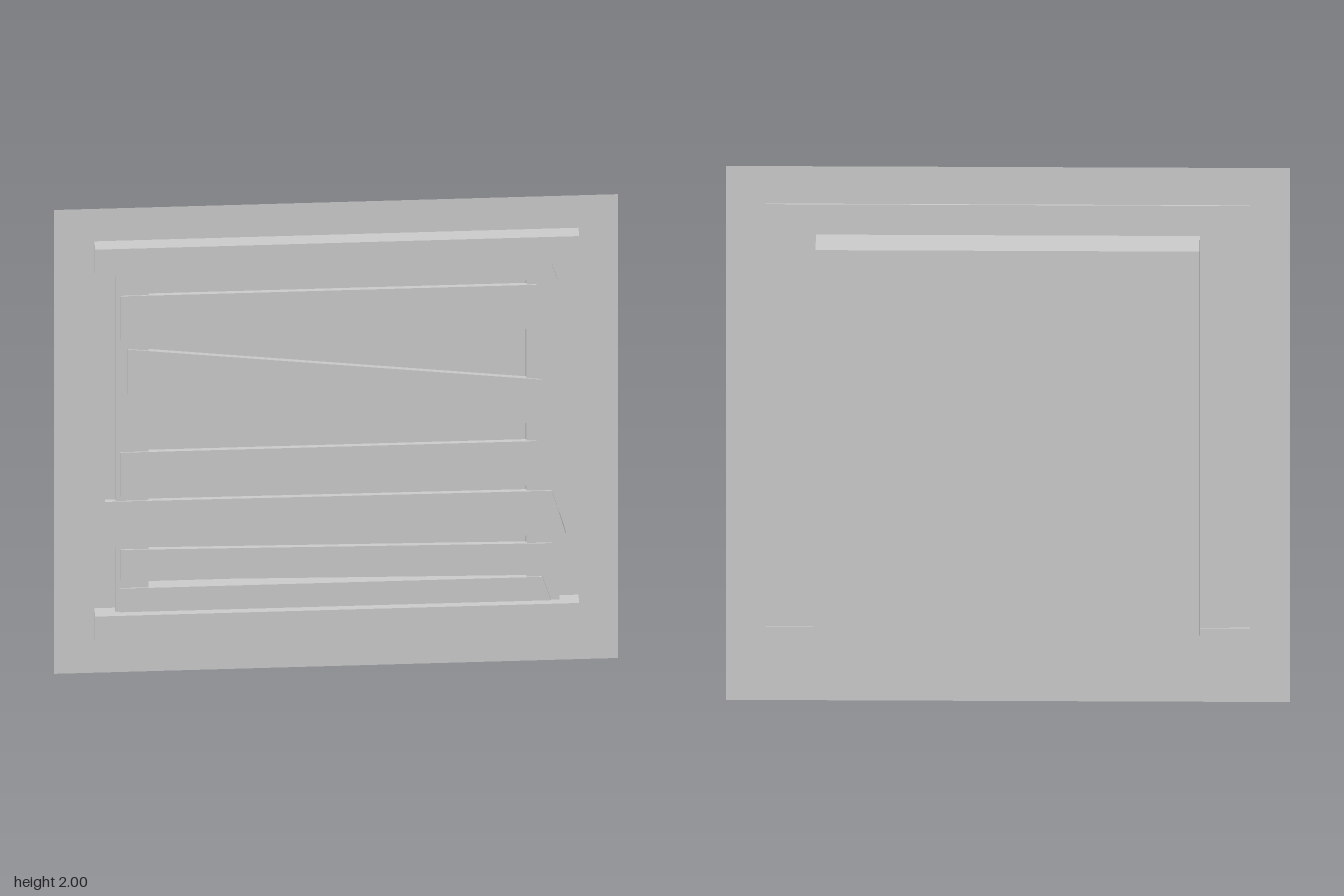
import * as THREE from 'three';

const WALL_Z = 0.063;

export function createModel() {
  const model = new THREE.Group();
  const wood = new THREE.MeshStandardMaterial({ color: 0xcccccc, flatShading: true });
  const thin = new THREE.MeshStandardMaterial({ color: 0xcccccc, flatShading: true, side: THREE.DoubleSide });

  const add = (name, geometry, material = wood) => {
    const mesh = new THREE.Mesh(geometry, material);
    mesh.name = name;
    model.add(mesh);
    return mesh;
  };

  // Box given by its extents on each axis
  const block = (name, x0, x1, y0, y1, z0, z1) =>
    add(name, new THREE.BoxGeometry(x1 - x0, y1 - y0, z1 - z0))
      .position.set((x0 + x1) / 2, (y0 + y1) / 2, (z0 + z1) / 2);

  // Flat panel, optionally rotated and placed
  const panel = (name, w, h, x, y, z, rx = 0, ry = 0) => {
    const mesh = add(name, new THREE.PlaneGeometry(w, h), thin);
    mesh.position.set(x, y, z);
    mesh.rotation.set(rx, ry, 0);
  };

  // Wall sheet with the window opening
  const X = 0.68, Y0 = 0.265, Y1 = 1.747, BACK = -0.115;
  const outline = (pts) => pts.map(([x, y]) => new THREE.Vector2(x, y));
  const wall = new THREE.Shape(outline([[-1, 0], [1, 0], [1, 2], [-1, 2]]));
  wall.holes.push(new THREE.Path(outline([[-X, Y0], [-X, Y1], [X, Y1], [X, Y0]])));
  add('wall', new THREE.ShapeGeometry(wall).translate(0, 0, WALL_Z), thin);

  // Recess behind the opening: back and four sides
  const depth = WALL_Z - BACK, midZ = (WALL_Z + BACK) / 2, midY = (Y0 + Y1) / 2;
  panel('recessBack', 2 * X, Y1 - Y0, 0, midY, BACK);
  for (const s of [-1, 1]) panel('recessSide', depth, Y1 - Y0, s * X, midY, midZ, 0, -s * Math.PI / 2);
  panel('recessSill', 2 * X, depth, 0, Y0, midZ, -Math.PI / 2);
  panel('recessHead', 2 * X, depth, 0, Y1, midZ, Math.PI / 2);

  // Upright stiles and cross rails of the frame
  block('leftStile', 0.674, 0.792, 0.135, 1.84, 0.06, 0.089);
  block('rightStile', -0.784, -0.666, 0.135, 1.84, 0.06, 0.089);
  block('topRail', -0.857, 0.86, 1.742, 1.86, 0.055, 0.115);
  block('bottomRail', -0.857, 0.86, 0.16, 0.278, 0.055, 0.115);

  // Rough boards nailed over the opening: corners from lower -x, anticlockwise
  const boards = [
    [[-0.76, 1.66], [0.785, 1.66], [0.73, 1.84], [-0.76, 1.84]],
    [[-0.765, 1.45], [0.715, 1.45], [0.71, 1.64], [-0.765, 1.64]],
    [[-0.74, 1.215], [0.715, 1.04], [0.73, 1.23], [-0.74, 1.41]],
    [[-0.765, 0.966], [0.71, 0.966], [0.71, 0.775], [-0.765, 0.777]].reverse(),
    [[-0.82, 0.56], [0.815, 0.56], [0.765, 0.75], [-0.82, 0.756]],
    [[-0.765, 0.417], [0.765, 0.388], [0.765, 0.524], [-0.765, 0.547]],
    [[-0.77, 0.2], [0.785, 0.2], [0.73, 0.38], [-0.77, 0.38]],
  ];
  for (const corners of boards) {
    const g = new THREE.ExtrudeGeometry(new THREE.Shape(outline(corners)), { depth: 0.014, bevelEnabled: false });
    add('board', g.translate(0, 0, 0.079));
  }

  return model;
}
